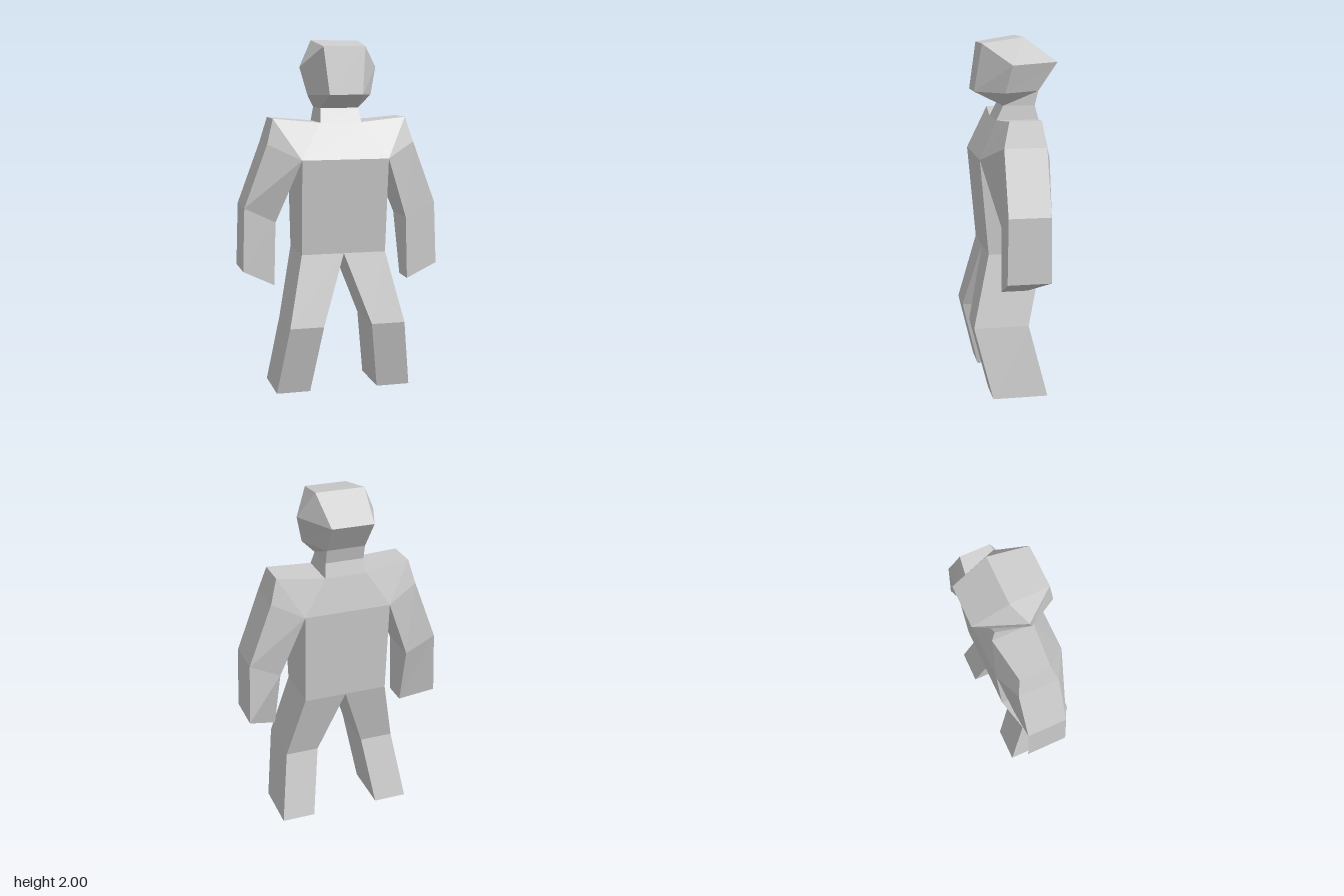
import * as THREE from 'three';

const material = new THREE.MeshStandardMaterial({ color: 0xcccccc, flatShading: true });

// Skin a stack of cross-sections (each counterclockwise seen from above, listed bottom to top).
function loft(name, rings, { bottom = false, top = false } = {}) {
  const pos = [];
  const tri = (...corners) => {
    const [a, b, c] = corners.map(p => new THREE.Vector3(...p));
    if (new THREE.Triangle(a, b, c).getArea() > 1e-6) corners.forEach(p => pos.push(...p));
  };
  for (let r = 0; r + 1 < rings.length; r++) {
    const a = rings[r], b = rings[r + 1], n = a.length;
    for (let i = 0; i < n; i++) {
      const j = (i + 1) % n;
      tri(a[i], a[j], b[j]);
      tri(a[i], b[j], b[i]);
    }
  }
  const first = rings[0], last = rings[rings.length - 1];
  for (let i = 1; i + 1 < first.length; i++) {
    if (bottom) tri(first[0], first[i + 1], first[i]);
    if (top) tri(last[0], last[i], last[i + 1]);
  }
  const geometry = new THREE.BufferGeometry();
  geometry.setAttribute('position', new THREE.Float32BufferAttribute(pos, 3));
  geometry.computeVertexNormals();
  const mesh = new THREE.Mesh(geometry, material);
  mesh.name = name;
  return mesh;
}

const flip = ([x, y, z]) => [-x, y, z];
const mirror = rings => rings.map(ring => ring.map(flip).reverse());

// Level rectangle from x0 to x1, front zf to back zb
const rect = (y, x0, x1, zf, zb) => [[x1, y, zf], [x1, y, zb], [x0, y, zb], [x0, y, zf]];

// Arm section: outer edge and inner edge, each [x, y, zFront, zBack]
const section = ([ox, oy, of, ob], [ix, iy, jf, jb]) =>
  [[ox, oy, of], [ox, oy, ob], [ix, iy, jb], [ix, iy, jf]];

// Six-sided head section from its left half: side, back, front
const headRing = (side, back, front) => [side, back, flip(back), flip(side), flip(front), front];

export function createModel() {
  const model = new THREE.Group();
  model.name = 'figure';

  // Torso and neck
  model.add(loft('torso', [
    rect(0.8, -0.245, 0.245, 0.157, -0.153),
    rect(1.34, -0.25, 0.25, 0.205, -0.187),
    rect(1.54, -0.12, 0.12, 0.09, -0.15),
    rect(1.62, -0.11, 0.11, 0.05, -0.13),
  ], { bottom: true }));

  // Head: chin, jaw, brow, crown
  const brow = [0.12, 1.965, 0.17], nape = [0.12, 1.86, -0.257], chin = [0.11, 1.62, 0.05];
  model.add(loft('head', [
    headRing(chin, [0.11, 1.62, -0.13], chin),
    headRing([0.185, 1.695, 0.05], [0.11, 1.7, -0.15], [0.095, 1.7, 0.212]),
    headRing([0.223, 1.85, 0.015], nape, brow),
    headRing([0.14, 2, -0.058], nape, brow),
  ], { bottom: true, top: true }));

  // Arms run from the hand up over the shoulder to the base of the neck
  const armpit = [0.25, 1.34, 0.205, -0.187];
  const arm = [
    section([0.572, 0.71, 0.108, -0.133], [0.395, 0.625, 0.11, -0.035]),
    section([0.56, 1.07, 0.1, -0.133], [0.385, 0.985, 0.108, -0.135]),
    section([0.427, 1.425, 0.1, -0.135], armpit),
    section([0.387, 1.565, 0.065, -0.113], armpit),
    section([0.12, 1.54, 0.09, -0.15], armpit),
  ];
  model.add(loft('leftArm', arm, { bottom: true }));
  model.add(loft('rightArm', mirror(arm), { bottom: true }));

  // Legs, with the knees bent forward
  const leg = [
    rect(0, 0.2, 0.395, 0.157, -0.153),
    rect(0.4, 0.14, 0.335, 0.255, -0.055),
    rect(0.8, 0, 0.245, 0.157, -0.153),
  ];
  model.add(loft('leftLeg', leg, { bottom: true }));
  model.add(loft('rightLeg', mirror(leg), { bottom: true }));

  return model;
}
